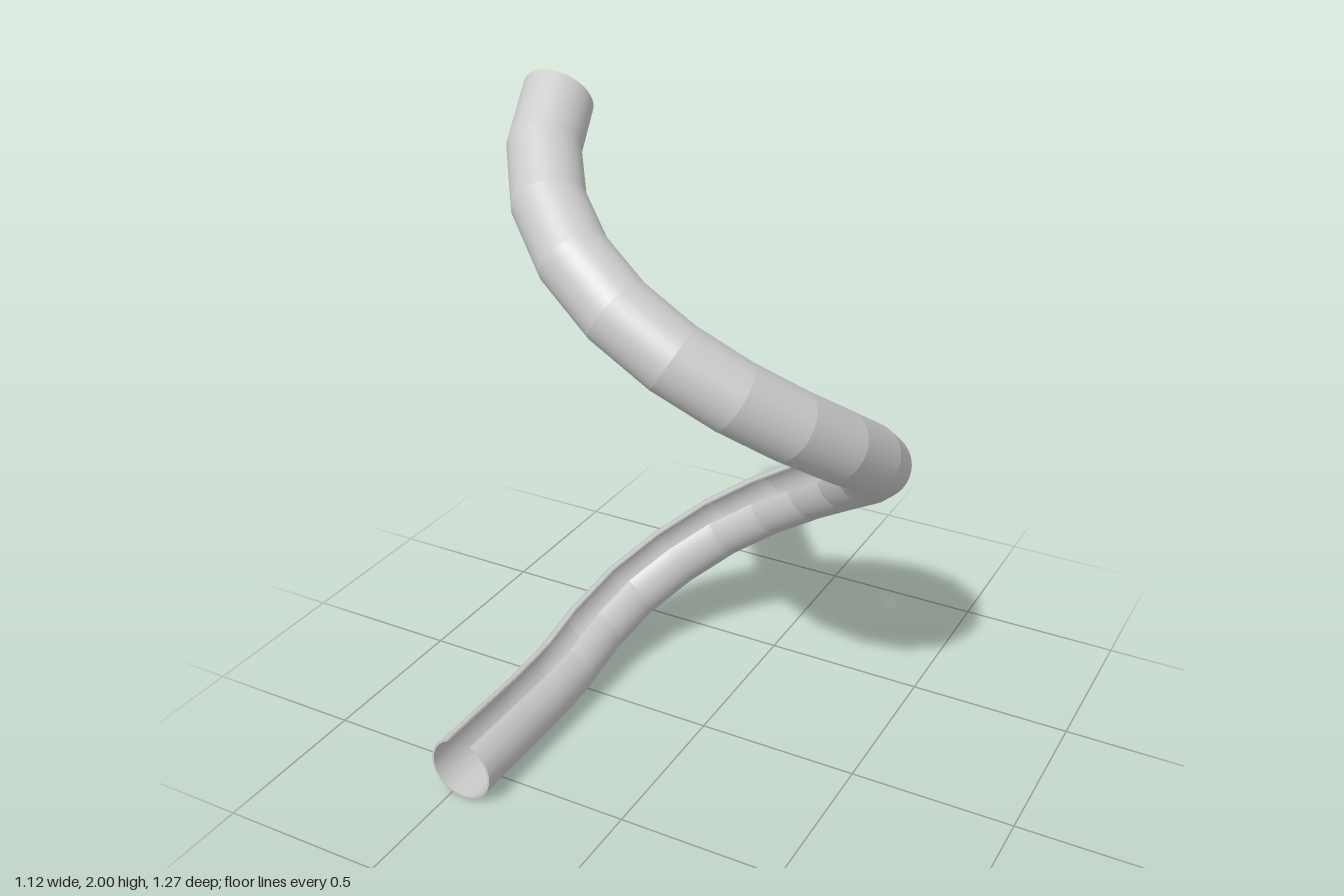
import * as THREE from 'three';

const RADIUS = 0.46;      // spiral radius
const CENTRE_Z = -0.08;   // spiral axis
const RUN_OUT = 0.71;     // straight length at the bottom
const TURN = THREE.MathUtils.degToRad(352.9);
const SLOPE = 0.65;

// Straight exit that eases into a rising spiral
class SlidePath extends THREE.Curve {
  getPoint(t, target = new THREE.Vector3()) {
    const h = t * (RUN_OUT + RADIUS * TURN);
    // height: level, parabolic ease, then constant slope
    const knee = 0.748, ease = 0.36;
    const d = h - knee;
    let y = 0.1;
    if (d > ease) y += SLOPE * d;
    else if (d > -ease) y += SLOPE * (d + ease) ** 2 / (4 * ease);

    if (h <= RUN_OUT) return target.set(-RADIUS, y, CENTRE_Z + RUN_OUT - h);
    const a = (h - RUN_OUT) / RADIUS;
    return target.set(-RADIUS * Math.cos(a), y, CENTRE_Z - RADIUS * Math.sin(a));
  }
}

export function createModel() {
  const group = new THREE.Group();
  group.name = 'spiralSlide';

  // Thin ring with a slot, which starts on top of the exit
  const half = Math.PI - 0.41;
  const section = new THREE.Shape();
  section.absarc(0, 0, 0.1, -half, half, false);
  section.absarc(0, 0, 0.094, half, -half, true);
  section.closePath();

  const geometry = new THREE.ExtrudeGeometry(section, {
    steps: 22,
    curveSegments: 32,
    extrudePath: new SlidePath(),
  });
  const tube = new THREE.Mesh(
    geometry,
    new THREE.MeshStandardMaterial({ color: 0xcccccc, side: THREE.DoubleSide })
  );
  tube.name = 'slottedTube';
  group.add(tube);
  return group;
}
